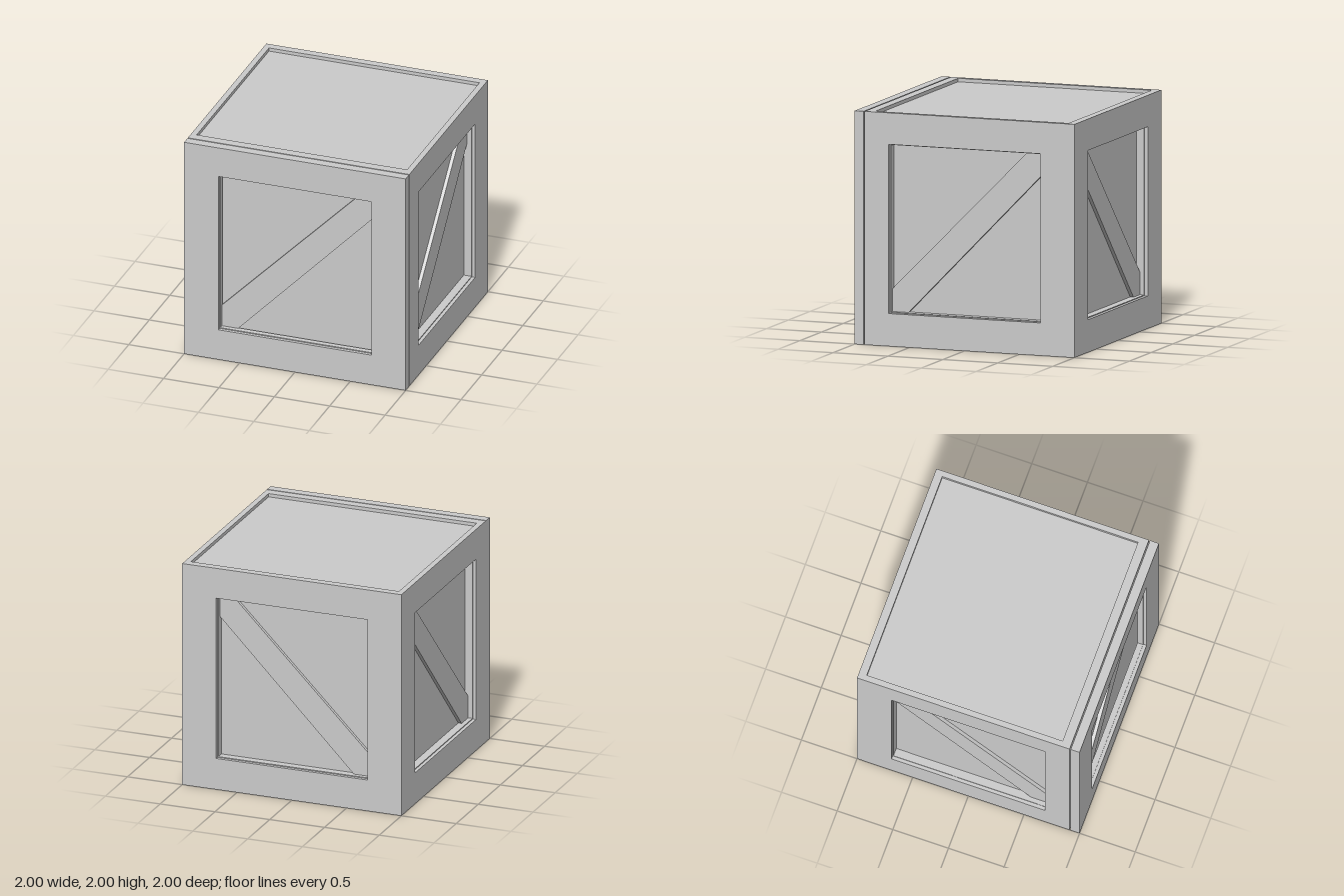
import * as THREE from 'three';

const material = new THREE.MeshStandardMaterial({ color: 0xcccccc });

function add(parent, name, geometry, x = 0, y = 0, z = 0) {
  const mesh = new THREE.Mesh(geometry, material);
  mesh.name = name;
  mesh.position.set(x, y, z);
  parent.add(mesh);
  return mesh;
}

const corners = (x0, y0, x1, y1) =>
  [[x0, y0], [x1, y0], [x1, y1], [x0, y1]].map(([x, y]) => new THREE.Vector2(x, y));

// Rectangular plate with a rectangular opening; rectangles are [x0, y0, x1, y1]
function plate(outer, hole, depth) {
  const shape = new THREE.Shape(corners(...outer));
  shape.holes.push(new THREE.Path(corners(...hole).reverse()));
  return new THREE.ExtrudeGeometry(shape, { depth, bevelEnabled: false });
}

// Diagonal plank with ends clipped to the square panel
function braceGeometry(mirror) {
  const s = 0.9, m = mirror ? -1 : 1, c = 0.18;
  const points = [[-s, -s], [-s + c, -s], [s, s - c], [s, s], [s - c, s], [-s, -s + c]]
    .map(([x, y]) => new THREE.Vector2(x * m, y * 1.04 + 1.015))
    .map(p => p.setY(THREE.MathUtils.clamp(p.y, 0.1, 1.9)));
  if (mirror) points.reverse();
  return new THREE.ExtrudeGeometry(new THREE.Shape(points), { depth: 0.03, bevelEnabled: false });
}

// One upright side facing +z: stepped frame around the opening, plus brace
function side(name, outer, back, angle, mirror) {
  const group = new THREE.Group();
  group.name = name;
  add(group, 'frameFace', plate(outer, [-0.69, 0.28, 0.69, 1.73], 0.03), 0, 0, 0.97);
  add(group, 'frameInner', plate(outer, [-0.683, 0.288, 0.683, 1.722], 0.97 - back), 0, 0, back);
  add(group, 'brace', braceGeometry(mirror), 0, 0, 0.9);
  group.rotation.y = angle;
  return group;
}

export function createModel() {
  const crate = new THREE.Group();
  crate.name = 'crate';

  // Inner box forming the recessed panels
  add(crate, 'innerBox', new THREE.BoxGeometry(1.8, 1.8, 1.8), 0, 1, 0);

  // Front frame stands off the body by a thin slot
  crate.add(
    side('frontSide', [-1, 0, 1, 2], 0.92, 0, false),
    side('leftSide', [-0.91, 0, 1, 1.9], 0.9, Math.PI / 2, false),
    side('rightSide', [-1, 0, 0.91, 1.9], 0.9, -Math.PI / 2, true),
    side('backSide', [-0.9, 0, 0.9, 1.9], 0.9, Math.PI, true),
  );

  // Top: lid sunk slightly inside a narrow rim
  add(crate, 'lid', new THREE.BoxGeometry(2, 0.07, 1.91), 0, 1.935, -0.045);
  const rim = plate([-1, -0.91, 1, 1], [-0.95, -0.83, 0.95, 0.93], 0.03);
  add(crate, 'topRim', rim, 0, 1.97, 0).rotation.x = -Math.PI / 2;

  // Bottom frame with a square opening
  const base = plate([-0.9, -0.9, 0.9, 0.91], [-0.69, -0.69, 0.69, 0.69], 0.1);
  add(crate, 'bottomFrame', base, 0, 0.1, 0).rotation.x = Math.PI / 2;

  return crate;
}
